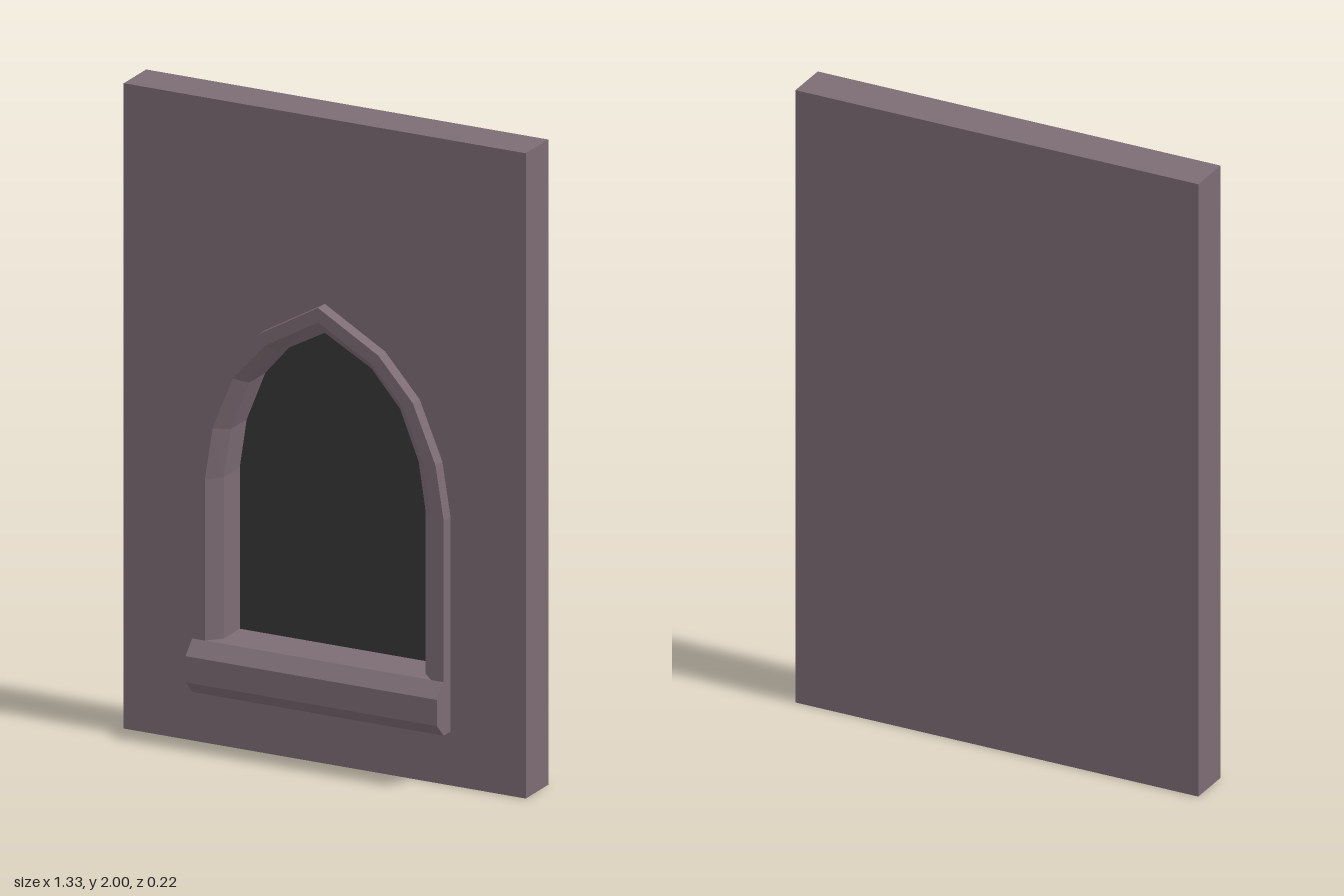
import * as THREE from 'three';

const WALL_BACK = -0.1125, WALL_FRONT = 0.0275, FRAME_FRONT = 0.07, GLASS_Z = -0.072;
const SILL_TOP = 0.333;

// Mirror the right half of a pointed arch into a ring from right foot over the apex to left foot
function archRing(half) {
  const left = half.slice(0, -1).reverse().map(([x, y]) => [-x, y]);
  return [...half, ...left];
}

const outer = archRing([[0.417, SILL_TOP], [0.417, 0.833], [0.39, 1.0], [0.315, 1.18], [0.2, 1.31], [0, 1.425]]);
const middle = archRing([[0.375, SILL_TOP], [0.375, 0.833], [0.35, 0.995], [0.283, 1.16], [0.175, 1.28], [0, 1.38]]);
const inner = archRing([[0.335, SILL_TOP], [0.335, 0.833], [0.312, 0.985], [0.25, 1.14], [0.155, 1.25], [0, 1.335]]);

// Flat-faced strip joining two rings at two depths
function band(a, za, b, zb, closed = false) {
  const pos = [];
  const count = closed ? a.length : a.length - 1;
  for (let i = 0; i < count; i++) {
    const j = (i + 1) % a.length;
    const p = [[...a[i], za], [...a[j], za], [...b[j], zb], [...b[i], zb]];
    for (const k of [0, 1, 2, 0, 2, 3]) pos.push(...p[k]);
  }
  const g = new THREE.BufferGeometry();
  g.setAttribute('position', new THREE.Float32BufferAttribute(pos, 3));
  g.computeVertexNormals();
  return g;
}

const toPoints = (ring) => ring.map(([x, y]) => new THREE.Vector2(x, y));

export function createModel() {
  const stone = new THREE.MeshStandardMaterial({ color: 0x7d6c74 });
  stone.name = 'mauveStone';
  const dark = new THREE.MeshStandardMaterial({ color: 0x383838 });
  dark.name = 'darkGlass';

  const group = new THREE.Group();
  group.name = 'archedWindowWall';
  const add = (name, geometry, material, parent = group) => {
    const mesh = new THREE.Mesh(geometry, material);
    mesh.name = name;
    parent.add(mesh);
    return mesh;
  };

  // Wall: box without its front face, then a front face with the window cut out
  const wall = new THREE.Group();
  wall.name = 'wall';
  group.add(wall);
  const box = new THREE.BoxGeometry(1.334, 2, WALL_FRONT - WALL_BACK);
  box.setIndex(Array.from(box.index.array).filter((_, i) => i < 24 || i >= 30));
  box.clearGroups();
  box.translate(0, 1, (WALL_FRONT + WALL_BACK) / 2);
  add('wallSidesAndBack', box, stone, wall);
  const face = new THREE.Shape(toPoints([[-0.667, 0], [0.667, 0], [0.667, 2], [-0.667, 2]]));
  face.holes.push(new THREE.Path(toPoints(inner)));
  add('wallFront', new THREE.ShapeGeometry(face).translate(0, 0, WALL_FRONT), stone, wall);

  // Recess and the pane at its end
  add('windowReveal', band(inner, WALL_FRONT, inner, GLASS_Z, true), stone);
  const pane = new THREE.ShapeGeometry(new THREE.Shape(toPoints(inner)));
  add('windowPane', pane.translate(0, 0, GLASS_Z), dark);

  // Raised arch frame: outer edge, flat front, bevel into the opening
  const frame = new THREE.Group();
  frame.name = 'archFrame';
  group.add(frame);
  add('frameEdge', band(outer, WALL_FRONT, outer, FRAME_FRONT), stone, frame);
  add('frameFront', band(outer, FRAME_FRONT, middle, FRAME_FRONT), stone, frame);
  add('frameBevel', band(middle, FRAME_FRONT, inner, WALL_FRONT), stone, frame);

  // Sill: chamfered profile drawn in depth and height, run along x
  const profile = new THREE.Shape(toPoints([
    [WALL_FRONT, 0.167], [FRAME_FRONT, 0.167], [0.1125, 0.21],
    [0.1125, 0.291], [FRAME_FRONT, SILL_TOP], [WALL_FRONT, SILL_TOP],
  ]));
  const sill = new THREE.ExtrudeGeometry(profile, { depth: 0.834, bevelEnabled: false });
  sill.rotateY(-Math.PI / 2).translate(0.417, 0, 0);
  add('sill', sill, stone);

  return group;
}
